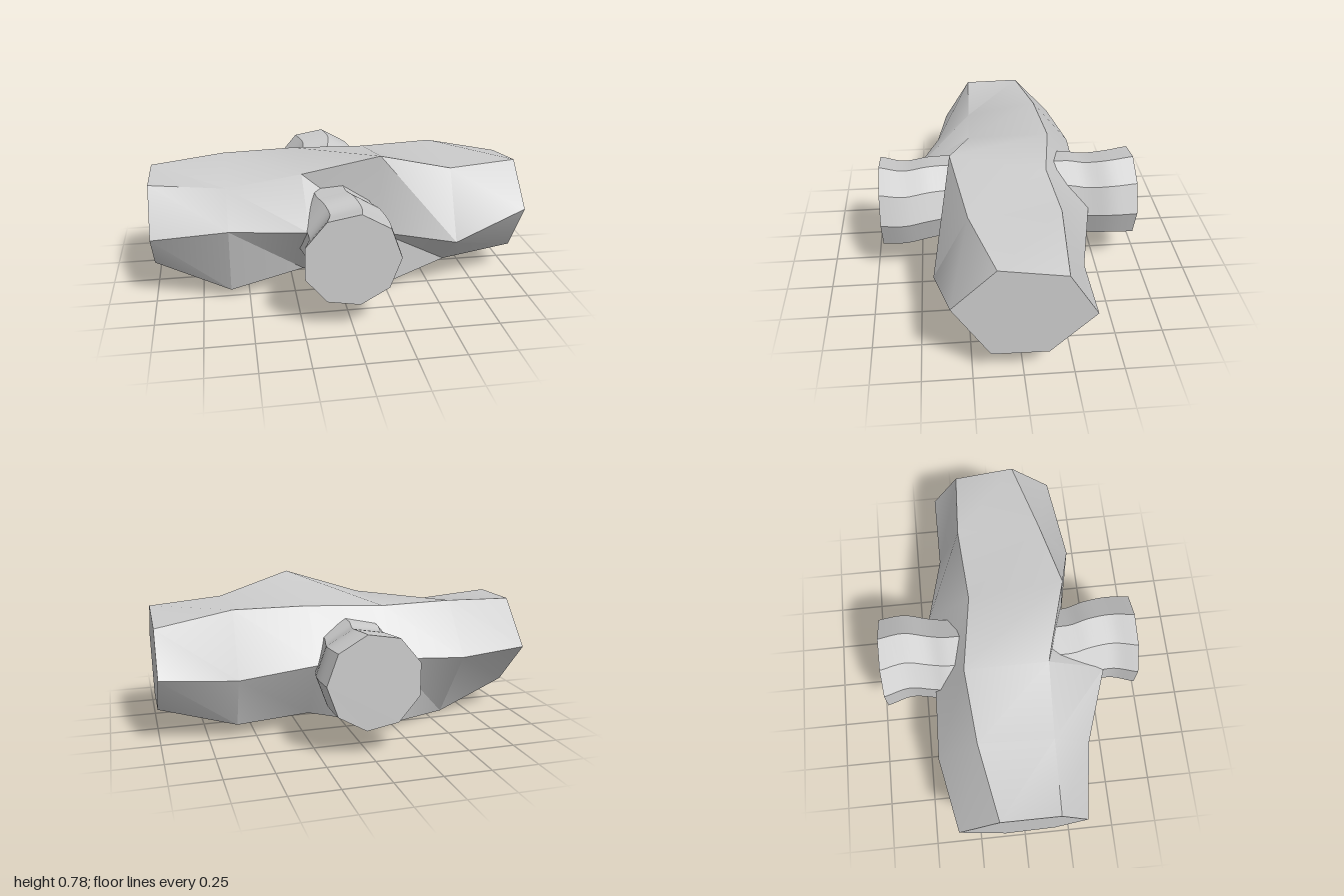
import * as THREE from 'three';
import { toCreasedNormals } from 'three/addons/utils/BufferGeometryUtils.js';

// Closed solid through rings of points (clockwise as seen from the last ring's end)
function loft(rings, crease) {
  const pos = [];
  const n = rings[0].length;
  const tri = (...pts) => pts.forEach((p) => pos.push(...p));
  for (let i = 0; i < rings.length - 1; i++) {
    for (let j = 0; j < n; j++) {
      const k = (j + 1) % n;
      const a = rings[i][j], b = rings[i][k], c = rings[i + 1][k], d = rings[i + 1][j];
      tri(a, d, b);
      tri(d, c, b);
    }
  }
  const first = rings[0], last = rings[rings.length - 1];
  for (let j = 1; j < n - 1; j++) {
    tri(first[0], first[j], first[j + 1]);
    tri(last[0], last[j + 1], last[j]);
  }
  const geo = new THREE.BufferGeometry();
  geo.setAttribute('position', new THREE.Float32BufferAttribute(pos, 3));
  return toCreasedNormals(geo, crease);
}

export function createModel() {
  const group = new THREE.Group();
  const stone = new THREE.MeshStandardMaterial({ color: 0xcccccc });
  stone.name = 'pale grey';

  // Irregular six-sided beam along x: six [z, y] corners per section
  const sections = [
    [-1.0, [[0.325, 0.395], [0.17, 0.64], [-0.14, 0.645], [-0.355, 0.41], [-0.11, 0.152], [0.16, 0.19]]],
    [-0.6, [[0.38, 0.44], [0.185, 0.605], [-0.215, 0.67], [-0.435, 0.4], [-0.157, 0.003], [0.275, 0.052]]],
    [-0.2, [[0.515, 0.47], [0.2, 0.668], [-0.25, 0.67], [-0.42, 0.42], [-0.35, 0.03], [0.21, 0.12]]],
    [0.2, [[0.335, 0.365], [0.315, 0.787], [-0.19, 0.68], [-0.432, 0.42], [-0.19, 0.08], [0.315, 0.028]]],
    [0.6, [[0.423, 0.318], [0.24, 0.674], [-0.217, 0.688], [-0.345, 0.345], [-0.243, 0.072], [0.2, 0.115]]],
    [1.0, [[0.345, 0.452], [0.128, 0.663], [-0.2, 0.61], [-0.345, 0.378], [-0.12, 0.153], [0.16, 0.158]]],
  ];
  const beam = new THREE.Mesh(
    loft(sections.map(([x, pts]) => pts.map(([z, y]) => [x, y, z])), 0.6), stone);
  beam.name = 'mainBeam';
  group.add(beam);

  // Wavy nine-sided bar along z: centre x, centre y, z and radius along its length
  const stations = [
    [-0.012, 0.39, -0.7, 0.248], [0.012, 0.396, -0.56, 0.236], [-0.01, 0.382, -0.43, 0.23],
    [-0.028, 0.39, -0.33, 0.228], [-0.015, 0.39, 0, 0.225], [-0.028, 0.396, 0.33, 0.226],
    [-0.005, 0.4, 0.44, 0.231], [0.012, 0.388, 0.57, 0.234], [-0.012, 0.39, 0.7, 0.248],
  ];
  const centres = new THREE.CatmullRomCurve3(stations.map(([x, y, z]) => new THREE.Vector3(x, y, z)));
  const radii = new THREE.SplineCurve(stations.map(([, , z, r]) => new THREE.Vector2(z, r)));
  const rings = [];
  const steps = 32;
  for (let i = 0; i <= steps; i++) {
    const c = centres.getPoint(i / steps);
    const r = radii.getPoint(i / steps).y;
    const ring = [];
    for (let j = 0; j < 9; j++) {
      const a = (-j * Math.PI * 2) / 9;
      ring.push([c.x + r * Math.cos(a), c.y + r * Math.sin(a), c.z]);
    }
    rings.push(ring);
  }
  const bar = new THREE.Mesh(loft(rings, 0.5), stone);
  bar.name = 'crossBar';
  group.add(bar);

  return group;
}
